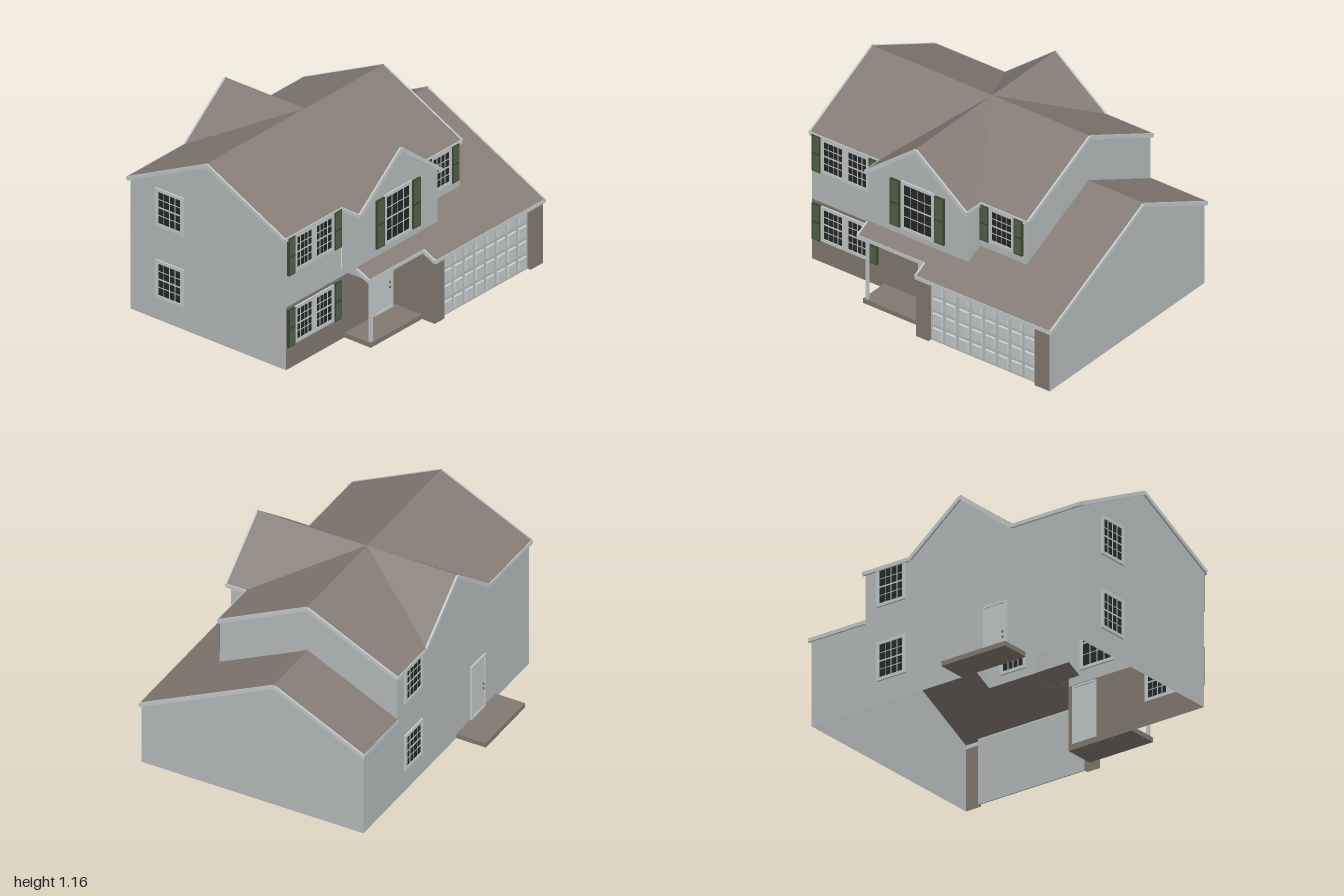
import * as THREE from 'three';

const mat = (name, color, side = THREE.FrontSide) => {
  const m = new THREE.MeshStandardMaterial({ color, side });
  m.name = name;
  return m;
};

export function createModel() {
  const house = new THREE.Group();
  house.name = 'house';
  const D = THREE.DoubleSide;
  const siding = mat('siding grey', 0xb6bbbc, D);
  const brick = mat('brick brown', 0x827a70, D);
  const roofing = mat('roof brown', 0x857b76, D);
  const trim = mat('trim white', 0xc3c9ca);
  const glass = mat('window glass', 0x262727);
  const green = mat('shutter green', 0x536049);
  const darkGreen = mat('shutter dark green', 0x3b4632);
  const metal = mat('handle grey', 0x6b6b68);

  // Flat sheets made of convex outlines
  function sheet(name, material, polys) {
    const pos = [];
    for (const p of polys)
      for (let i = 1; i < p.length - 1; i++) pos.push(...p[0], ...p[i], ...p[i + 1]);
    const g = new THREE.BufferGeometry();
    g.setAttribute('position', new THREE.Float32BufferAttribute(pos, 3));
    g.computeVertexNormals();
    const m = new THREE.Mesh(g, material);
    m.name = name;
    house.add(m);
  }
  // Rectangles and outlines in a plane of constant x or z
  const atX = (x, pts) => pts.map(([z, y]) => [x, y, z]);
  const atZ = (z, pts) => pts.map(([x, y]) => [x, y, z]);
  const rect = (a, b, y0, y1) => [[a, y0], [b, y0], [b, y1], [a, y1]];

  function box(parent, name, material, w, h, d, x, y, z) {
    const m = new THREE.Mesh(new THREE.BoxGeometry(w, h, d), material);
    m.position.set(x, y, z);
    m.name = name;
    parent.add(m);
    return m;
  }
  // Fascia board along a roof edge, its top just under the roof
  function fascia(a, b) {
    const A = new THREE.Vector3(...a), B = new THREE.Vector3(...b);
    const m = box(house, 'fascia', trim, 0.012, 0.024, A.distanceTo(B), 0, 0, 0);
    m.position.copy(A).add(B).multiplyScalar(0.5);
    m.position.y -= 0.013;
    m.lookAt(B.x, B.y - 0.013, B.z);
  }
  // Group on a wall: local +z points out of the wall
  function mount(name, x, y, z, turn) {
    const g = new THREE.Group();
    g.name = name;
    g.position.set(x, y, z);
    g.rotation.y = turn;
    house.add(g);
    return g;
  }
  const FRONT = 0, RIGHT = Math.PI / 2, LEFT = -Math.PI / 2;

  function border(g, w, h, t, d) {
    for (const s of [-1, 1]) {
      box(g, 'frameSide', trim, t, h, d, s * (w - t) / 2, 0, 0);
      box(g, 'frameRail', trim, w - 2 * t, t, d, 0, s * (h - t) / 2, 0);
    }
  }
  function sash(g, cx, w, h, rows = 4) {
    const s = new THREE.Group();
    s.name = 'sash';
    s.position.x = cx;
    g.add(s);
    border(s, w, h, 0.02, 0.022);
    box(s, 'glass', glass, w - 0.03, h - 0.03, 0.008, 0, 0, 0);
    const iw = w - 0.04, ih = h - 0.04;
    for (let i = 1; i < 4; i++) box(s, 'muntin', trim, 0.004, ih, 0.013, -iw / 2 + iw * i / 4, 0, 0);
    for (let i = 1; i < rows; i++)
      box(s, 'crossMuntin', trim, iw, i * 2 === rows ? 0.009 : 0.004, 0.014, 0, -ih / 2 + ih * i / rows, 0);
  }
  function shutter(g, cx, h, w = 0.06) {
    box(g, 'shutter', darkGreen, w, h, 0.014, cx, 0, 0.009);
    for (const s of [-1, 1])
      box(g, 'shutterPanel', green, w - 0.014, h / 2 - 0.014, 0.006, cx, s * h / 4, 0.015);
  }

  // Main walls
  const gable = [[-0.645, 0.868], [0.53, 0.868], [-0.055, 1.153]];
  sheet('mainWalls', siding, [
    atZ(0.975, rect(-0.645, 0.53, 0, 0.868)), atZ(0.975, gable),
    atZ(-0.59, gable),
    atZ(-0.59, [[-0.645, 0.56], [-0.055, 0.848], [-0.055, 0.868], [-0.645, 0.868]]),
    atZ(-0.59, [[0.53, 0.565], [0.53, 0.868], [-0.055, 0.868], [-0.055, 0.848]]),
    atX(-0.645, rect(-0.59, 0.975, 0, 0.868)),
    atX(-0.645, [[-0.26, 0.868], [0.48, 0.868], [0.11, 1.153]]),
    atX(0.53, rect(0.48, 0.975, 0.41, 0.87)),
    atX(0.53, rect(-0.01, 0.48, 0.41, 0.46)),
    atX(0.53, rect(-0.59, -0.25, 0.565, 0.87)),
  ]);
  sheet('brickFront', brick, [atX(0.53, rect(-0.01, 0.975, 0, 0.41))]);

  // Upper bay with its gable
  sheet('bayWalls', siding, [
    atX(0.645, rect(-0.25, 0.475, 0.51, 0.872)),
    atX(0.645, [[-0.25, 0.872], [0.475, 0.872], [0.11, 1.153]]),
    atZ(0.475, rect(0.53, 0.645, 0.45, 0.872)),
    atZ(0.475, [[0.645, 0.45], [0.735, 0.45], [0.735, 0.464], [0.645, 0.51]]),
    atZ(-0.25, [[0.53, 0.565], [0.645, 0.51], [0.645, 0.872], [0.53, 0.872]]),
  ]);

  // Garage walls
  sheet('garageWalls', siding, [
    atZ(-0.985, [[-0.645, 0], [0.825, 0], [0.825, 0.42], [-0.055, 0.845], [-0.645, 0.557]]),
    atX(-0.645, rect(-0.985, -0.59, 0, 0.56)),
  ]);
  sheet('garageBrick', brick, [
    atX(0.825, rect(-0.1, -0.01, 0, 0.42)), atX(0.825, rect(-0.985, -0.875, 0, 0.42)),
    atZ(-0.012, [[0.53, 0], [0.825, 0], [0.825, 0.42], [0.735, 0.463], [0.53, 0.463]]),
    atZ(-0.1, rect(0.795, 0.825, 0, 0.41)), atZ(-0.875, rect(0.795, 0.825, 0, 0.41)),
  ]);

  // Main roof and cross gable, meeting in valleys
  const T = 1.16, E = 0.87, C = [-0.055, T, 0.11];
  const main = [], cross = [];
  for (const [ex, gx] of [[0.535, 0.672], [-0.655, -0.655]]) {
    for (const [vz, endZ] of [[0.48, 0.99], [-0.26, -0.6]]) {
      main.push([[-0.055, T, endZ], C, [ex, E, vz], [ex, E, endZ]]);
      cross.push([C, [gx, T, 0.11], [gx, E, vz], [ex, E, vz]]);
      fascia([ex, E, vz], [ex, E, endZ]);
      fascia([-0.055, T, endZ], [ex, E, endZ]);
      fascia([gx, T, 0.11], [gx, E, vz]);
      if (gx > 0) fascia([ex, E, vz], [gx, E, vz]);
    }
  }
  sheet('mainRoof', roofing, main);
  sheet('crossGableRoof', roofing, cross);

  // Garage roof, running on over the porch
  const ry = x => 0.85 - 0.485 * Math.abs(x + 0.055);
  const slope = (x0, x1, z0, z1) => [[x0, ry(x0), z0], [x0, ry(x0), z1], [x1, ry(x1), z1], [x1, ry(x1), z0]];
  sheet('garageRoof', roofing, [
    slope(-0.055, -0.655, -1, -0.59), slope(-0.055, 0.53, -1, -0.59), slope(0.53, 0.835, -1, -0.008),
  ]);
  sheet('porchRoof', roofing, [slope(0.64, 0.745, -0.008, 0.485)]);
  sheet('porchCeiling', siding, [[[0.53, 0.45, -0.01], [0.74, 0.45, -0.01], [0.74, 0.45, 0.475], [0.53, 0.45, 0.475]]]);
  const edge = (x0, z0, x1, z1) => fascia([x0, ry(x0), z0], [x1, ry(x1), z1]);
  edge(-0.055, -0.994, 0.83, -0.994);
  edge(-0.055, -0.994, -0.65, -0.994);
  edge(0.83, -1, 0.83, -0.008);
  edge(-0.65, -1, -0.65, -0.59);
  edge(0.74, -0.01, 0.83, -0.01);
  edge(0.74, -0.01, 0.74, 0.485);
  edge(0.645, 0.48, 0.74, 0.48);

  // Porch slab, post and back step
  box(house, 'porchSlab', brick, 0.2, 0.03, 0.46, 0.63, 0.015, 0.22);
  box(house, 'porchPost', trim, 0.018, 0.42, 0.018, 0.713, 0.24, 0.43);
  box(house, 'backStep', brick, 0.195, 0.03, 0.465, -0.743, 0.015, 0.345);

  // Single windows
  for (const y of [0.27, 0.741]) {
    sash(mount('frontWindow', -0.345, y, 0.975, FRONT), 0, 0.21, 0.248);
    sash(mount('leftWindow', -0.645, y, -0.4, LEFT), 0, 0.21, 0.248);
  }
  // Shuttered double windows
  for (const y of [0.27, 0.739]) {
    const g = mount('doubleWindow', 0.53, y, 0.728, RIGHT);
    for (const s of [-1, 1]) {
      sash(g, s * 0.088, 0.176, 0.24);
      shutter(g, s * 0.208, 0.246);
    }
  }
  // Bay window and window above the garage
  const bay = mount('bayWindow', 0.645, 0.72, 0.112, RIGHT);
  sash(bay, 0, 0.245, 0.33);
  for (const s of [-1, 1]) shutter(bay, s * 0.162, 0.315, 0.07);
  const small = mount('garageSideWindow', 0.53, 0.739, -0.413, RIGHT);
  sash(small, 0, 0.185, 0.24);
  for (const s of [-1, 1]) shutter(small, s * 0.124, 0.24);

  // Entrance doors
  for (const [name, x, z, turn] of [['frontDoor', 0.53, 0.108, RIGHT], ['backDoor', -0.645, 0.36, LEFT]]) {
    const g = mount(name, x, 0.215, z, turn);
    border(g, 0.168, 0.37, 0.014, 0.024);
    box(g, 'doorLeaf', trim, 0.142, 0.345, 0.012, 0, 0, 0);
    for (const y of [-0.012, -0.045]) box(g, 'doorHandle', metal, 0.008, 0.012, 0.012, 0.057, y, 0.01);
  }

  // Panelled garage door
  const gd = mount('garageDoor', 0.797, 0.205, -0.4875, RIGHT);
  box(gd, 'doorSheet', siding, 0.775, 0.41, 0.008, 0, 0, 0);
  for (let i = 0; i < 8; i++)
    for (let j = 0; j < 4; j++) {
      const panel = box(gd, 'doorPanel', trim, 0.074, 0.082, 0.012, (i - 3.5) * 0.096, (j - 1.5) * 0.101, 0.008);
      // bevel the outer face
      const p = panel.geometry.attributes.position;
      for (let k = 0; k < p.count; k++)
        if (p.getZ(k) > 0) p.setXY(k, p.getX(k) * 0.85, p.getY(k) * 0.85);
      panel.geometry.computeVertexNormals();
    }
  box(house, 'garageLintel', trim, 0.03, 0.014, 0.775, 0.81, 0.413, -0.4875);
  return house;
}
